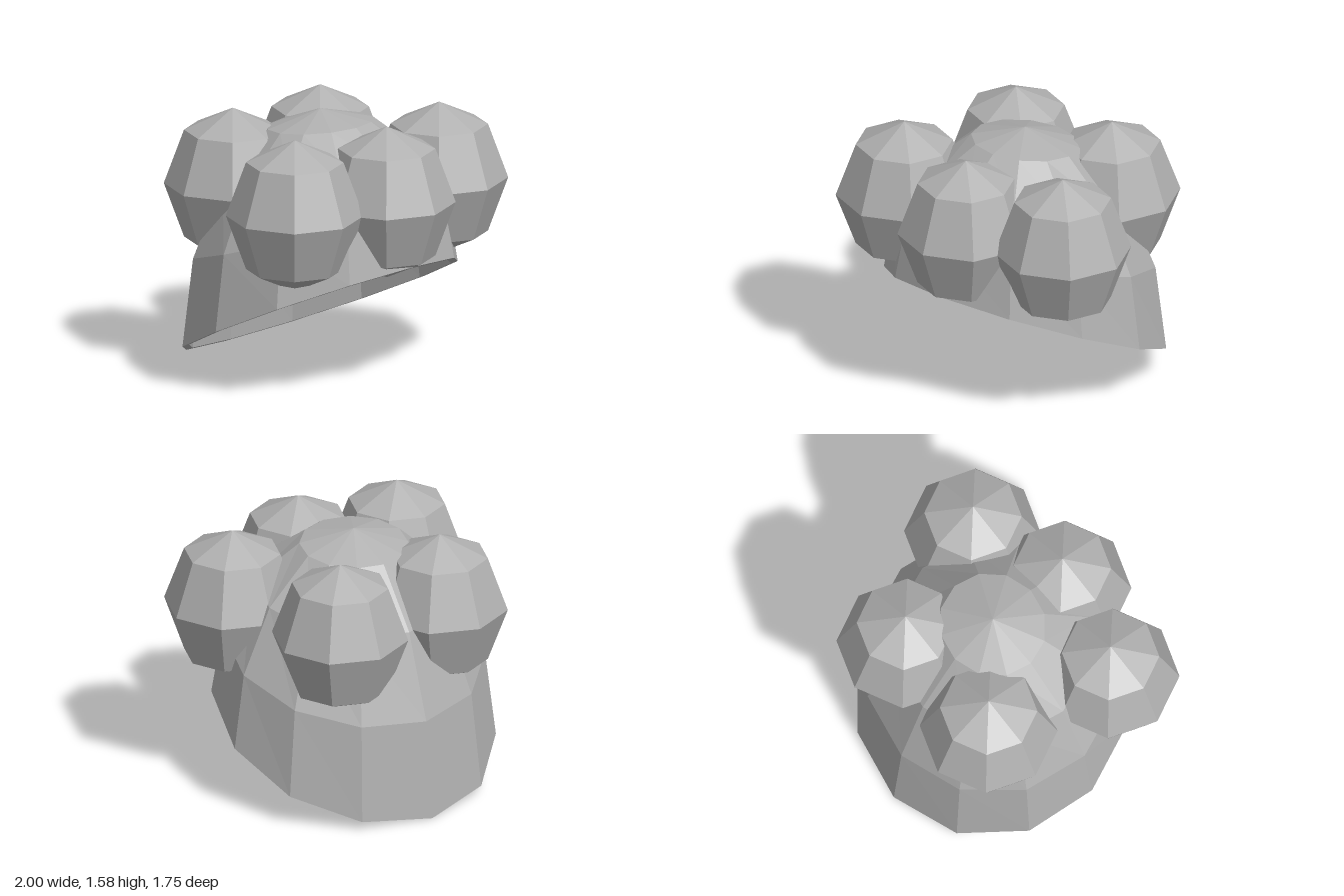
import * as THREE from 'three';

const grey = new THREE.MeshStandardMaterial({ color: 0xb0b0b0 });
grey.name = 'grey';

// Faceted normals: every triangle gets its own corners
function faceted(geometry) {
  const g = geometry.index ? geometry.toNonIndexed() : geometry;
  g.computeVertexNormals();
  return g;
}

// Point on a half-dome whose rim lies in a plane sloping down to the back
function domePoint(row, side, inset) {
  const theta = (row * Math.PI) / 8;
  const angle = (side * Math.PI) / 6;
  const rimZ = -0.09 + (0.79 - inset) * Math.cos(angle);
  const rimY = 0.488 * (rimZ + 0.88);
  const r = Math.sin(theta);
  return [
    (0.86 - inset) * Math.sin(angle) * r,
    rimY + (1.58 - inset - rimY) * Math.cos(theta),
    -0.09 + (rimZ + 0.09) * r,
  ];
}

// Thick shell: down the outside, across the rim, up the inside
function shellGeometry() {
  const loops = [];
  for (let row = 0; row <= 4; row++) loops.push([row, 0]);
  for (let row = 4; row >= 0; row--) loops.push([row, 0.04]);
  const positions = [];
  for (let i = 0; i < loops.length - 1; i++) {
    for (let j = 0; j < 12; j++) {
      const a = domePoint(loops[i][0], j, loops[i][1]);
      const b = domePoint(loops[i + 1][0], j, loops[i + 1][1]);
      const c = domePoint(loops[i + 1][0], j + 1, loops[i + 1][1]);
      const d = domePoint(loops[i][0], j + 1, loops[i][1]);
      if (i < loops.length - 2) positions.push(...a, ...b, ...c);
      if (i > 0) positions.push(...a, ...c, ...d);
    }
  }
  const g = new THREE.BufferGeometry();
  g.setAttribute('position', new THREE.Float32BufferAttribute(positions, 3));
  return faceted(g);
}

export function createModel() {
  const model = new THREE.Group();
  model.name = 'puffyCap';

  // Sloping shell
  const shell = new THREE.Mesh(shellGeometry(), grey);
  shell.name = 'shell';
  model.add(shell);

  // Five eight-sided puffs around the crown
  const puffGeometry = faceted(new THREE.SphereGeometry(1, 8, 4).scale(0.405, 0.46, 0.405));
  const puffs = [
    ['frontPuff', 0, 0.467],
    ['leftPuff', 0.595, 0.302],
    ['rightPuff', -0.595, 0.302],
    ['backLeftPuff', 0.36, -0.455],
    ['backRightPuff', -0.36, -0.455],
  ];
  for (const [name, x, z] of puffs) {
    const puff = new THREE.Mesh(puffGeometry, grey);
    puff.name = name;
    puff.position.set(x, 1.12, z);
    model.add(puff);
  }
  return model;
}
